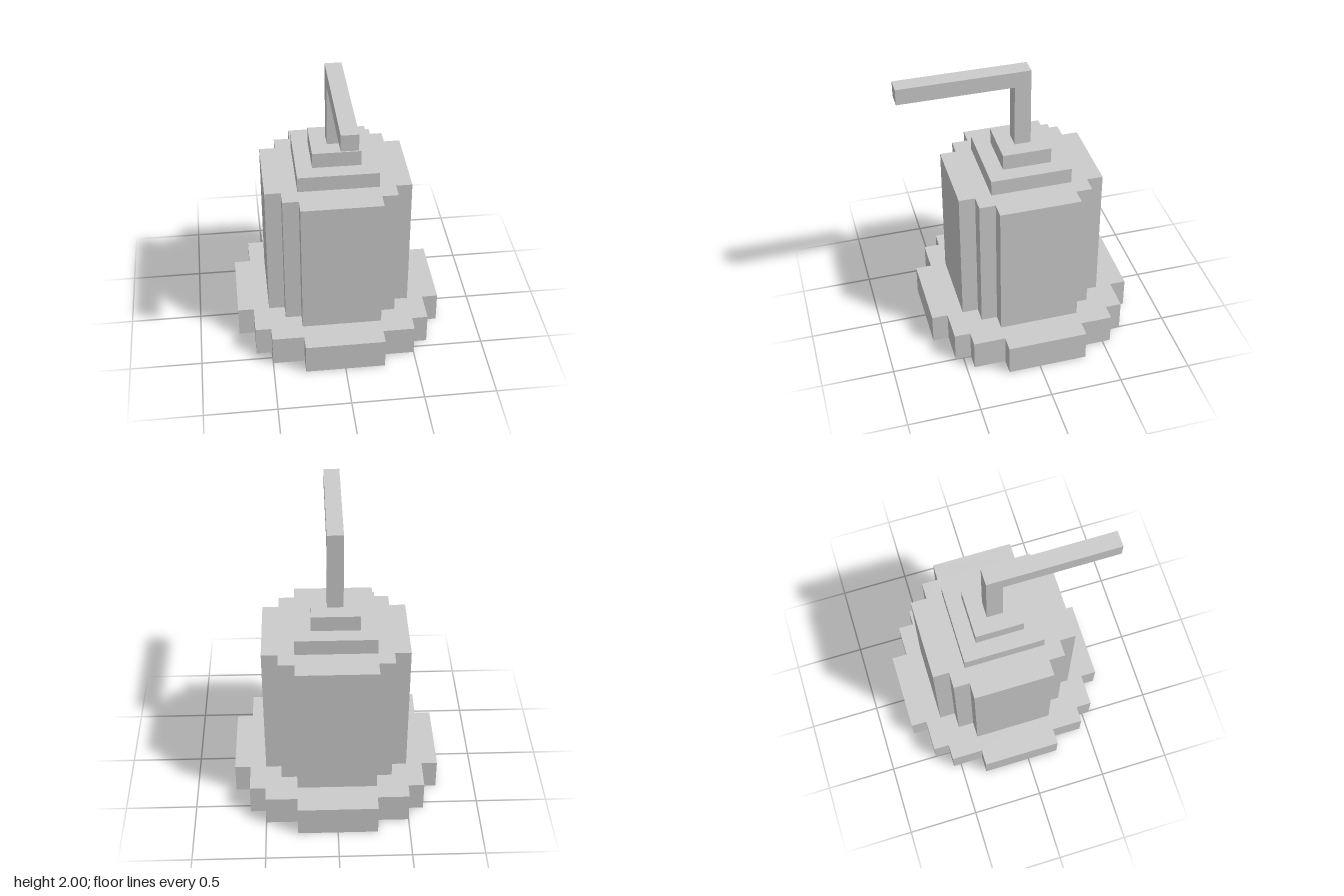
import * as THREE from 'three';

const U = 1 / 9; // block size
const AXIS_Z = -0.5; // central axis of the bottle, in blocks

const material = new THREE.MeshStandardMaterial({ color: 0xcccccc, flatShading: true });

function addPart(group, name, geometry) {
  geometry.scale(U, U, U);
  const mesh = new THREE.Mesh(geometry, material);
  mesh.name = name;
  group.add(mesh);
}

// Stepped round outline: corners are the outer [x, z] steps of one quadrant, mirrored to four
function steppedDisc(corners, y0, y1) {
  const quadrant = [];
  corners.forEach(([x, z], i) => {
    if (i > 0) quadrant.push([x, corners[i - 1][1]]);
    quadrant.push([x, z]);
  });
  const half = [...quadrant, ...quadrant.map(([x, z]) => [-x, z]).reverse()];
  const outline = [...half, ...half.map(([x, z]) => [-x, -z])];
  const shape = new THREE.Shape(outline.map(([x, z]) => new THREE.Vector2(x, z)));
  const geometry = new THREE.ExtrudeGeometry(shape, { depth: y1 - y0, bevelEnabled: false });
  return geometry.rotateX(-Math.PI / 2).translate(0, y0, AXIS_Z);
}

export function createModel() {
  const group = new THREE.Group();
  group.name = 'pumpDispenser';

  // Wide foot, bottle body and the two square collar steps
  addPart(group, 'base', steppedDisc([[6.5, 2.5], [5.5, 4.5], [4.5, 5.5], [2.5, 6.5]], 0, 2));
  addPart(group, 'body', steppedDisc([[4.5, 2.5], [3.5, 3.5], [2.5, 4.5]], 2, 11));
  addPart(group, 'shoulder', steppedDisc([[2.5, 2.5]], 11, 12));
  addPart(group, 'collar', steppedDisc([[1.5, 1.5]], 12, 13));

  // L-shaped pump: stem with a spout reaching forward, drawn in (z, y)
  const profile = [[-1, 13], [0, 13], [0, 17], [7, 17], [7, 18], [-1, 18]];
  const pump = new THREE.ExtrudeGeometry(
    new THREE.Shape(profile.map(([z, y]) => new THREE.Vector2(z, y))),
    { depth: 1, bevelEnabled: false }
  );
  addPart(group, 'pumpSpout', pump.rotateY(-Math.PI / 2).translate(0.5, 0, 0));

  return group;
}
